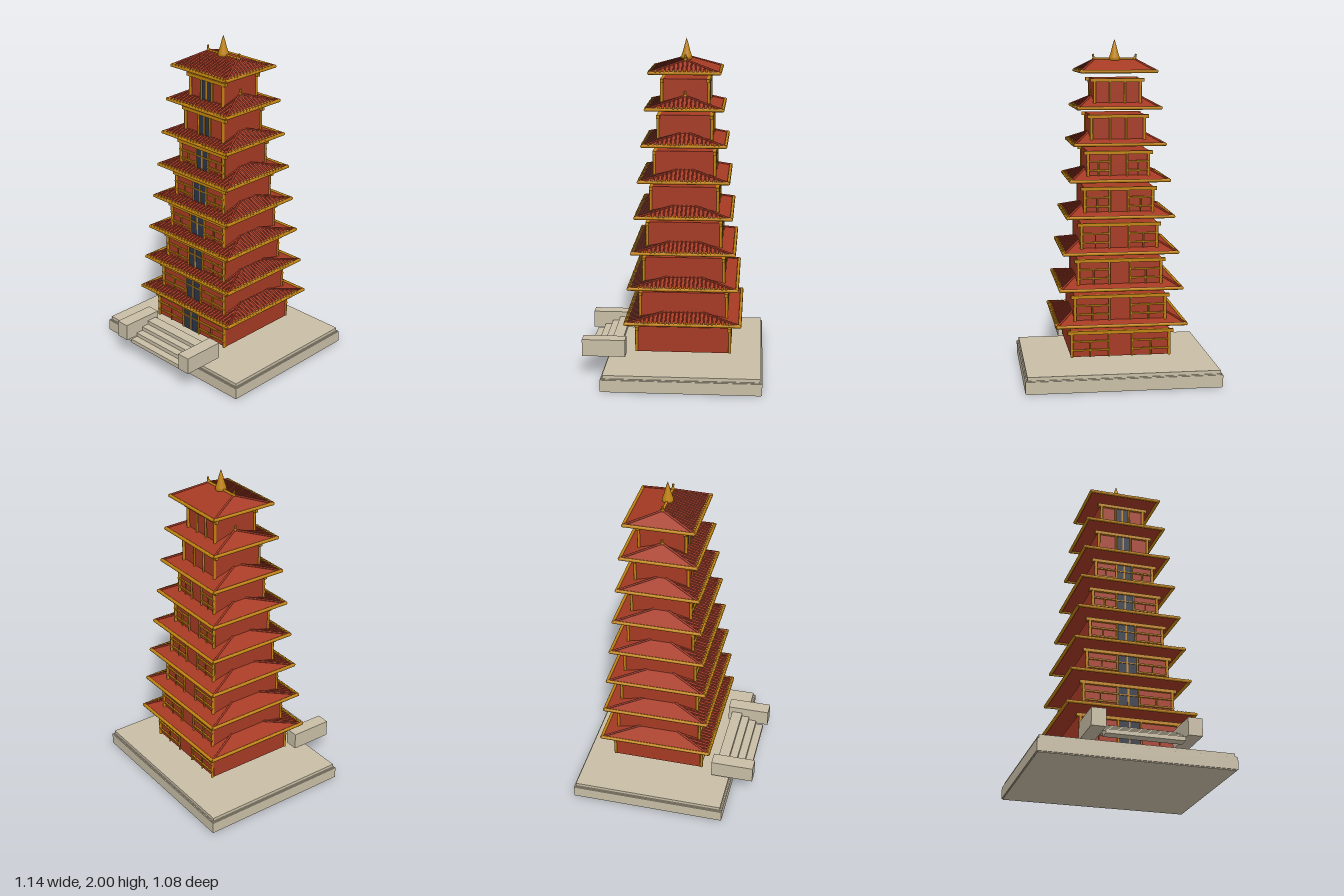
import * as THREE from 'three';
import { mergeGeometries } from 'three/addons/utils/BufferGeometryUtils.js';

const mat = (name, color) => new THREE.MeshStandardMaterial({ name, color });
const red = mat('red lacquer', 0xa63a24);
const gold = mat('gold trim', 0xc0820f);
const stone = mat('pale stone', 0xc9bea6);
const navy = mat('dark door', 0x2c3444);

const V = (x, y, z) => new THREE.Vector3(x, y, z);

// box given by its min and max on each axis
function boxGeo(x0, x1, y0, y1, z0, z1) {
  return new THREE.BoxGeometry(x1 - x0, y1 - y0, z1 - z0)
    .translate((x0 + x1) / 2, (y0 + y1) / 2, (z0 + z1) / 2);
}

// round rod between two points
function rodGeo(a, b, r, sides = 8) {
  const d = b.clone().sub(a);
  const g = new THREE.CylinderGeometry(r, r, d.length(), sides);
  g.applyQuaternion(new THREE.Quaternion().setFromUnitVectors(V(0, 1, 0), d.normalize()));
  const m = a.clone().add(b).multiplyScalar(0.5);
  return g.translate(m.x, m.y, m.z);
}

function add(parent, name, material, geos) {
  const mesh = new THREE.Mesh(mergeGeometries([].concat(geos)), material);
  mesh.name = name;
  parent.add(mesh);
  return mesh;
}

// closed hip roof: rectangle at the eaves, short ridge along x
function hipGeo(hx, hz, rx, h) {
  const [a, b, c, d] = [V(-hx, 0, hz), V(hx, 0, hz), V(hx, 0, -hz), V(-hx, 0, -hz)];
  const [l, r] = [V(-rx, h, 0), V(rx, h, 0)];
  const faces = [a, b, r, a, r, l, b, c, r, c, d, l, c, l, r, d, a, l, a, d, c, a, c, b];
  const g = new THREE.BufferGeometry().setFromPoints(faces);
  g.computeVertexNormals();
  return g;
}

function makeRoof(hx, hz) {
  const roof = new THREE.Group();
  roof.name = 'roof';
  const rx = hx * 0.55, h = 0.068;
  add(roof, 'roofSlopes', red, hipGeo(hx, hz, rx, h));

  // eave beams, hips and ridge
  const eaves = [], hips = [];
  for (const s of [-1, 1]) {
    eaves.push(rodGeo(V(-hx - 0.004, 0, s * hz), V(hx + 0.004, 0, s * hz), 0.01));
    eaves.push(rodGeo(V(s * hx, 0, -hz - 0.004), V(s * hx, 0, hz + 0.004), 0.01));
    for (const t of [-1, 1]) hips.push(rodGeo(V(s * hx, 0.004, t * hz), V(s * rx, h, 0), 0.006, 6));
  }
  add(roof, 'eaveBeams', gold, eaves);
  add(roof, 'hipRidges', red, hips);
  add(roof, 'topRidge', gold, rodGeo(V(-rx, h, 0), V(rx, h, 0), 0.008));

  // ridge end finials
  const finials = [];
  for (const s of [-1, 1]) {
    finials.push(rodGeo(V(s * rx, h - 0.01, 0), V(s * (rx + 0.008), h + 0.03, 0), 0.006));
    finials.push(new THREE.SphereGeometry(0.012, 10, 8).translate(s * rx, h + 0.002, 0));
  }
  add(roof, 'ridgeFinials', gold, finials);

  // tile ribs with gilded ends on the front and left slopes
  const ribs = [], caps = [];
  const rib = (low, high) => {
    const dir = high.clone().sub(low);
    if (dir.length() < 0.02) return;
    ribs.push(rodGeo(low, high, 0.0045, 6));
    dir.normalize();
    caps.push(rodGeo(low.clone().addScaledVector(dir, -0.006), low.clone().addScaledVector(dir, 0.014), 0.0065, 6));
  };
  const nx = Math.round(hx / 0.0125), nz = Math.round(hz / 0.0125);
  for (let i = 0; i < nx; i++) {
    const x = hx * ((2 * i + 1) / nx - 1);
    const t = Math.min(1, (hx - Math.abs(x)) / (hx - rx));
    rib(V(x, 0.005, hz), V(x, h * t + 0.002, hz * (1 - t)));
  }
  for (let i = 0; i < nz; i++) {
    const z = hz * ((2 * i + 1) / nz - 1);
    const t = 1 - Math.abs(z) / hz;
    rib(V(hx, 0.005, z), V(hx - (hx - rx) * t, h * t + 0.002, z));
  }
  add(roof, 'tileRibs', red, ribs);
  add(roof, 'tileEnds', gold, caps);
  return roof;
}

// gold frame of one long wall, with its base at y = 0 and the wall at z = 0
function makeFacade(w, H, door, railed, withDoor) {
  const f = new THREE.Group();
  f.name = withDoor ? 'frontFacade' : 'backFacade';
  const bars = [boxGeo(-w - 0.016, w + 0.016, H - 0.02, H, -0.004, 0.016)];
  for (const s of [-1, 1]) {
    const post = (x, r, top) => bars.push(rodGeo(V(s * x, 0, 0.008), V(s * x, top, 0.008), r));
    post(w - 0.008, 0.009, H);
    post(door + 0.006, 0.006, H);
    if (railed) {
      post((w + door) * 0.5, 0.004, H - 0.06);
      for (const y of [H - 0.066, H - 0.118]) {
        const a = s * (door + 0.004), b = s * w;
        bars.push(boxGeo(Math.min(a, b), Math.max(a, b), y, y + 0.009, 0.006, 0.016));
      }
    }
  }
  add(f, 'facadeFrame', gold, bars);
  if (withDoor) {
    add(f, 'doorPanels', navy, [-1, 1].map(s =>
      boxGeo(Math.min(s * 0.005, s * door), Math.max(s * 0.005, s * door), 0, H - 0.02, 0, 0.007)));
    add(f, 'doorDivider', gold, boxGeo(-0.005, 0.005, 0, H - 0.02, 0, 0.009));
    if (railed) add(f, 'doorRail', gold, boxGeo(-door, door, H - 0.066, H - 0.06, 0.004, 0.012));
  }
  return f;
}

export function createModel() {
  const model = new THREE.Group();
  model.name = 'pagoda';

  // stone platform
  add(model, 'platform', stone, [
    boxGeo(-0.572, 0.572, 0.005, 0.075, -0.54, 0.4),
    boxGeo(-0.566, 0.566, 0, 0.08, -0.534, 0.394),
    boxGeo(-0.56, 0.56, 0.08, 0.1, -0.528, 0.388),
  ]);

  // entrance steps and side blocks
  const steps = [];
  for (let i = 0; i < 4; i++) {
    const z = 0.512 - i * 0.047;
    steps.push(boxGeo(-0.225, 0.225, 0.1 + i * 0.0242, 0.1242 + i * 0.0242, z - 0.066, z));
  }
  add(model, 'steps', stone, steps);
  add(model, 'stairBlocks', stone, [
    boxGeo(-0.314, -0.231, 0.125, 0.228, 0.28, 0.54),
    boxGeo(0.231, 0.314, 0.125, 0.228, 0.28, 0.54),
  ]);

  // eight tapering storeys
  const tower = new THREE.Group();
  tower.name = 'tower';
  tower.position.z = -0.066;
  model.add(tower);
  const H = 0.155;
  for (let i = 0; i < 8; i++) {
    const storey = new THREE.Group();
    storey.name = 'storey' + (i + 1);
    storey.position.y = 0.157 + i * 0.2088;
    tower.add(storey);
    const w = 0.296 - i * 0.022, d = 0.27 - i * 0.02;
    add(storey, 'walls', red, boxGeo(-w + 0.004, w - 0.004, 0, H, -d, d));
    const door = 0.062 - i * 0.0035;
    const front = makeFacade(w, H, door, i < 6, true);
    front.position.z = d;
    const back = makeFacade(w, H, door, i < 6, false);
    back.position.z = -d;
    back.rotation.y = Math.PI;
    storey.add(front, back);
    const roof = makeRoof(0.377 - i * 0.0226, 0.338 - i * 0.0192);
    roof.position.y = 0.196;
    storey.add(roof);
  }

  // gilded spire
  const profile = [[0, 1.865], [0.026, 1.868], [0.034, 1.882], [0.031, 1.895], [0.021, 1.925], [0.011, 1.965], [0, 2]]
    .map(([r, y]) => new THREE.Vector2(r, y));
  add(tower, 'spire', gold, new THREE.LatheGeometry(profile, 24));

  return model;
}
